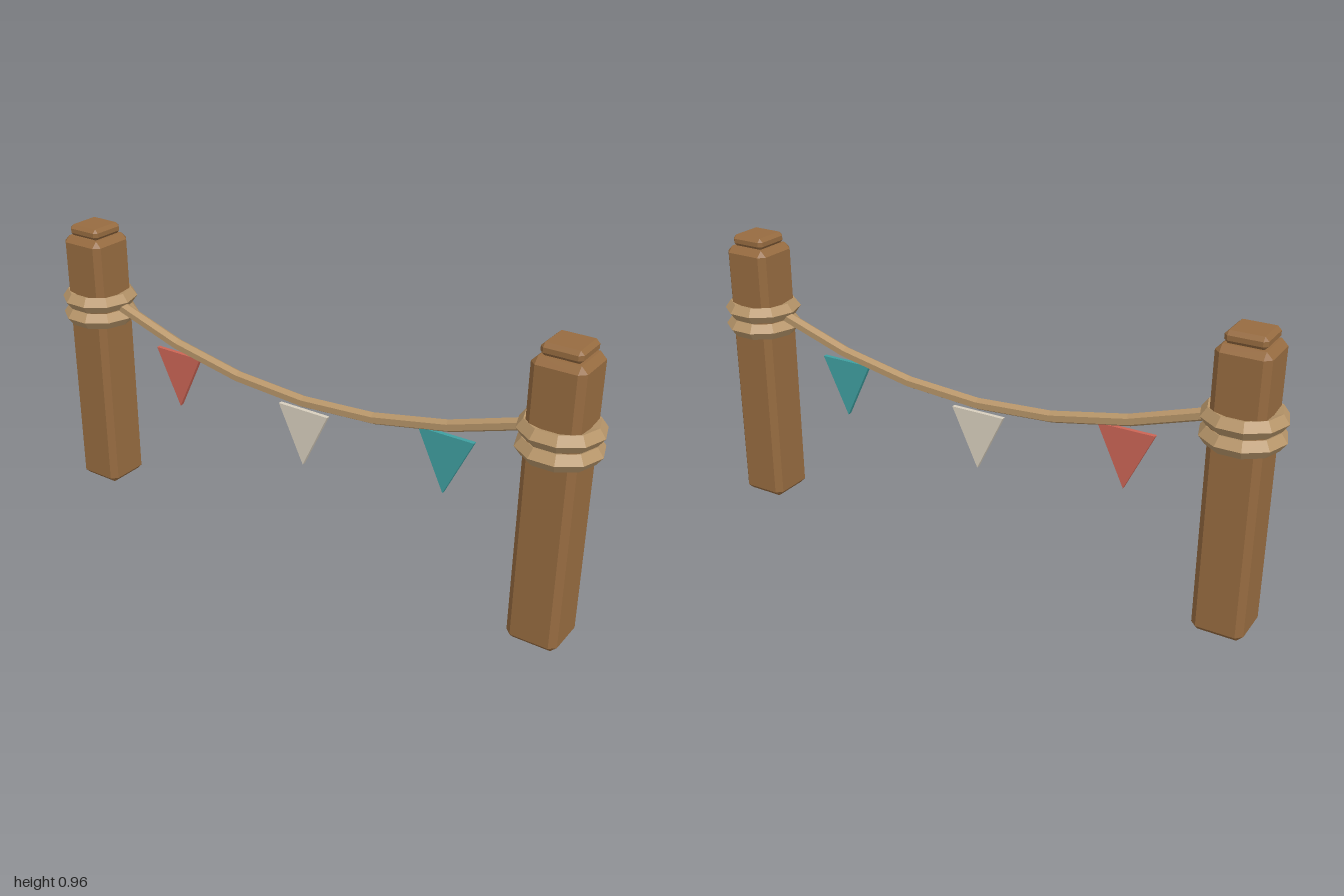
import * as THREE from 'three';
import { ConvexGeometry } from 'three/addons/geometries/ConvexGeometry.js';

const material = (color) => new THREE.MeshStandardMaterial({ color, flatShading: true });

function addMesh(parent, name, geometry, mat, x = 0, y = 0, z = 0) {
  const mesh = new THREE.Mesh(geometry, mat);
  mesh.name = name;
  mesh.position.set(x, y, z);
  parent.add(mesh);
  return mesh;
}

// Box with every edge cut by a flat chamfer c
function chamferBox(w, h, d, c) {
  const points = [];
  for (const sx of [-1, 1]) for (const sy of [-1, 1]) for (const sz of [-1, 1]) {
    for (let full = 0; full < 3; full++) {
      points.push(new THREE.Vector3(
        sx * (w / 2 - (full === 0 ? 0 : c)),
        sy * (h / 2 - (full === 1 ? 0 : c)),
        sz * (d / 2 - (full === 2 ? 0 : c))));
    }
  }
  return new ConvexGeometry(points);
}

export function createModel() {
  const model = new THREE.Group();
  model.name = 'buntingFence';
  const wood = material(0x966b40);
  const ropeMat = material(0xb8966a);

  // Posts with caps and two rope wraps each
  const postGeo = chamferBox(0.164, 0.92, 0.164, 0.02);
  const capGeo = chamferBox(0.125, 0.039, 0.125, 0.012);
  const wrapGeo = new THREE.TorusGeometry(0.1, 0.029, 5, 10).rotateX(Math.PI / 2);
  for (const side of [-1, 1]) {
    const post = new THREE.Group();
    post.name = side > 0 ? 'leftPost' : 'rightPost';
    post.position.x = side * 0.871;
    addMesh(post, 'postShaft', postGeo, wood, 0, 0.46);
    addMesh(post, 'postCap', capGeo, wood, 0, 0.938);
    for (const y of [0.64, 0.698]) addMesh(post, 'ropeWrap', wrapGeo, ropeMat, 0, y);
    model.add(post);
  }

  // Sagging six-sided rope
  const sag = new THREE.QuadraticBezierCurve3(
    new THREE.Vector3(-0.775, 0.68, 0),
    new THREE.Vector3(0, 0.38, 0),
    new THREE.Vector3(0.775, 0.68, 0));
  const section = new THREE.Shape(Array.from({ length: 6 }, (_, i) => {
    const a = (i / 6) * Math.PI * 2;
    return new THREE.Vector2(0.02 * Math.sin(a), 0.02 * Math.cos(a));
  }));
  addMesh(model, 'rope',
    new THREE.ExtrudeGeometry(section, { steps: 6, extrudePath: sag, bevelEnabled: false }), ropeMat);

  // Triangular pennants hanging under the rope
  const triangle = new THREE.Shape([
    new THREE.Vector2(-0.094, 0), new THREE.Vector2(0, -0.197), new THREE.Vector2(0.094, 0)]);
  const flagGeo = new THREE.ExtrudeGeometry(triangle, { depth: 0.014, bevelEnabled: false })
    .translate(0, 0, -0.007);
  const flags = [
    ['redPennant', -0.517, 0.568, 0xcb6555],
    ['creamPennant', 0, 0.501, 0xd8cfbe],
    ['tealPennant', 0.517, 0.568, 0x3f9fa0],
  ];
  for (const [name, x, y, color] of flags) addMesh(model, name, flagGeo, material(color), x, y);

  return model;
}
